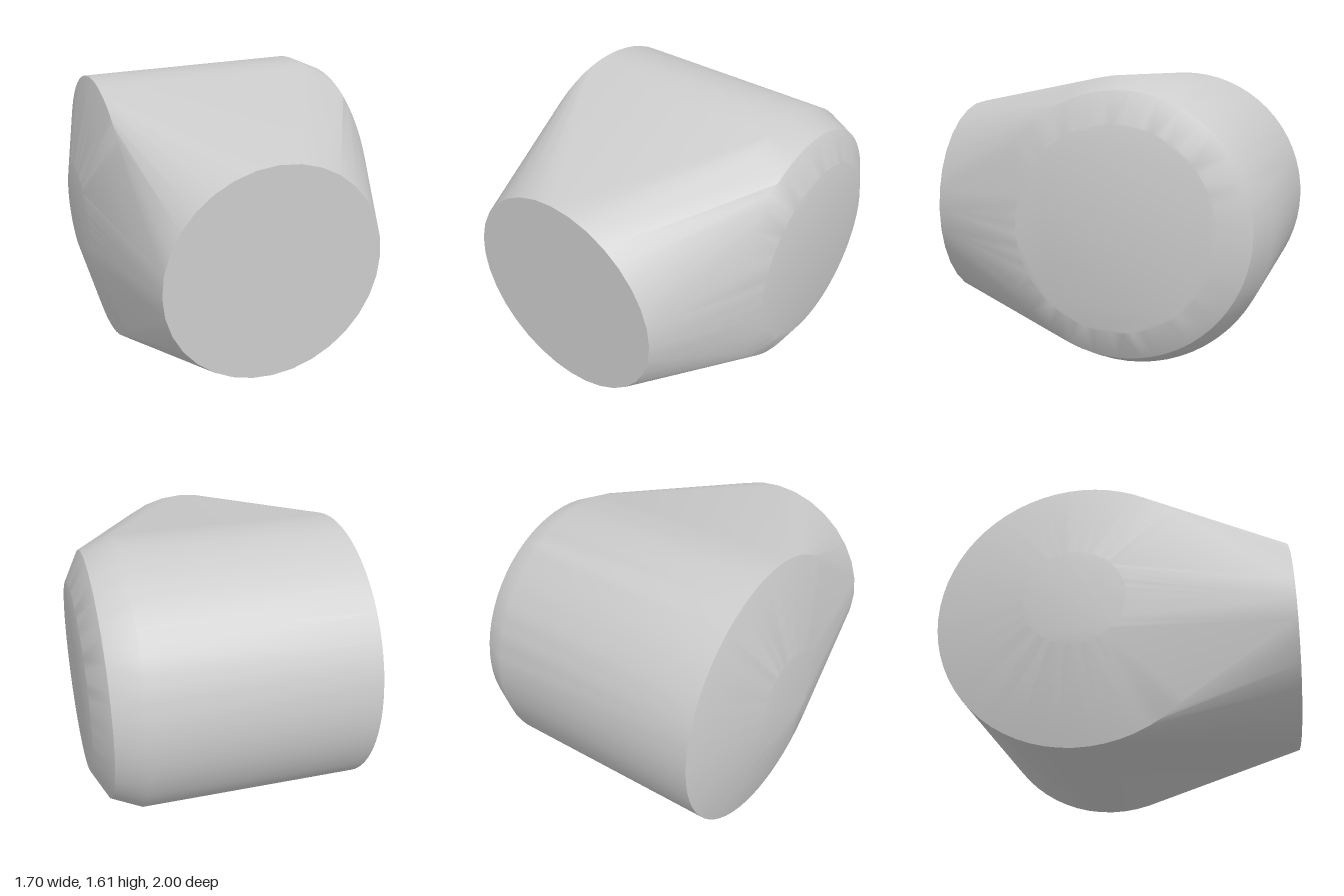
import * as THREE from 'three';
import { ConvexGeometry } from 'three/addons/geometries/ConvexGeometry.js';
import { toCreasedNormals } from 'three/addons/utils/BufferGeometryUtils.js';

const CY = 0.807; // height of the shared axis
const CZ = -0.193; // depth of the cross drum axis

// points of a circle, placed by a function of (cos, sin)
function ring(radius, sides, place) {
  return Array.from({ length: sides }, (_, i) => {
    const a = (i / sides) * Math.PI * 2;
    return place(radius * Math.cos(a), radius * Math.sin(a));
  });
}

export function createModel() {
  const group = new THREE.Group();
  const grey = new THREE.MeshStandardMaterial({ color: 0xcccccc });
  grey.name = 'light grey';

  // cross drum: [x, radius] of its end bevels
  const drum = [[-0.85, 0.285], [-0.71, 0.807], [0.59, 0.807], [0.76, 0.73], [0.85, 0.56]];
  const points = drum.flatMap(([x, r]) =>
    ring(r, 64, (c, s) => new THREE.Vector3(x, CY + s, CZ + c)));

  // round front face that the drum tapers into
  points.push(...ring(0.625, 32, (c, s) => new THREE.Vector3(c - 0.063, CY + s, 1)));

  // taut skin around drum and front face
  const body = new THREE.Mesh(toCreasedNormals(new ConvexGeometry(points), 0.5), grey);
  body.name = 'taperedBody';
  group.add(body);
  return group;
}
